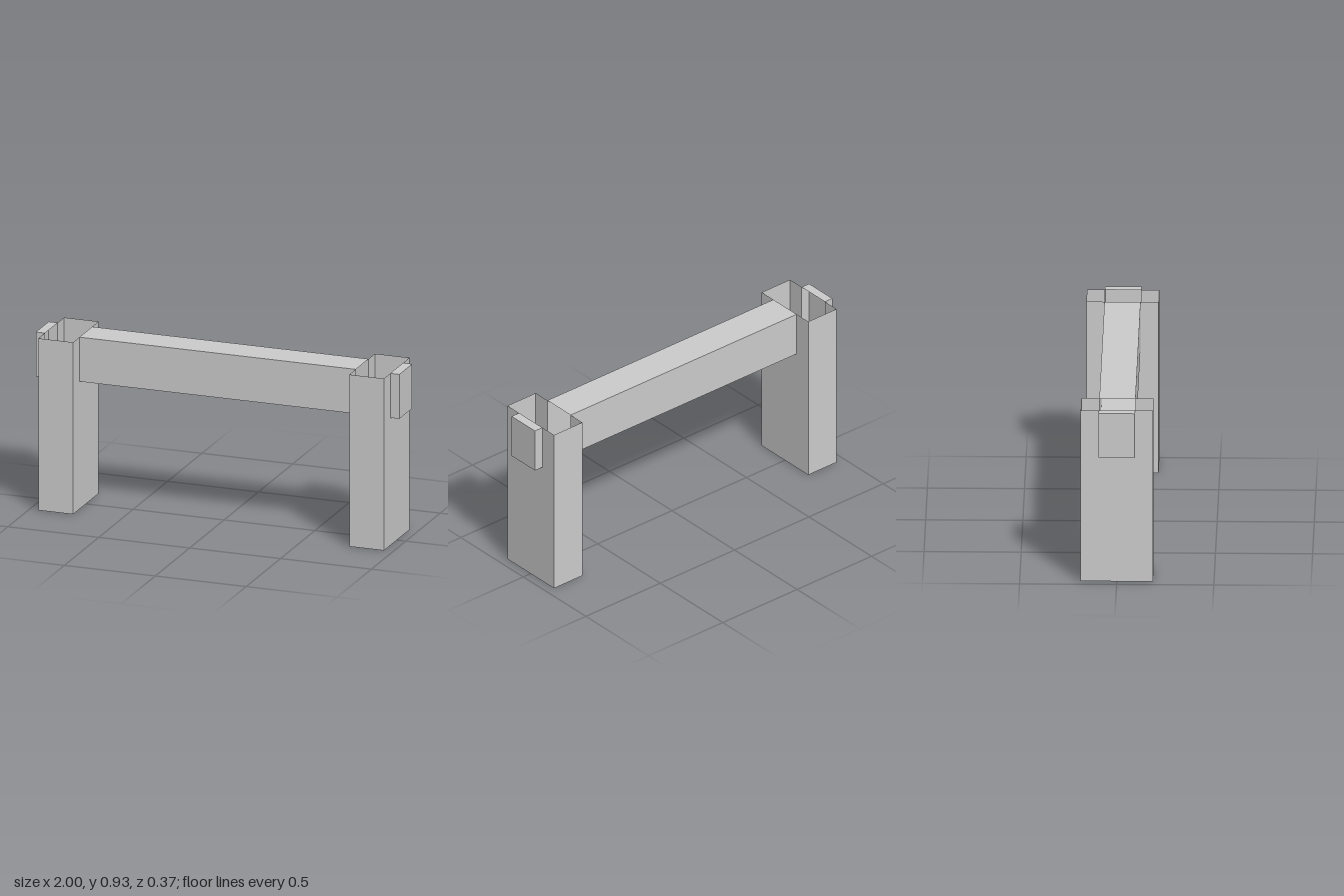
import * as THREE from 'three';
import { mergeGeometries } from 'three/addons/utils/BufferGeometryUtils.js';

const TOP = 0.93, BEAM_Y = 0.69;        // beam runs from BEAM_Y to TOP
const INNER = 0.76, OUTER = 0.95;       // x of the leg walls
const LEG_Z = 0.186, BEAM_Z = 0.093;    // half depths

const material = new THREE.MeshStandardMaterial({
  color: 0xcccccc, flatShading: true, side: THREE.DoubleSide,
});

// Box between two x and y limits, keeping only the listed sides
const SIDES = ['+x', '-x', '+y', '-y', '+z', '-z'];
function openBox(x0, x1, y0, y1, halfZ, keep) {
  const g = new THREE.BoxGeometry(x1 - x0, y1 - y0, 2 * halfZ);
  const index = Array.from(g.index.array);
  g.setIndex(keep.flatMap((s) => {
    const i = SIDES.indexOf(s) * 6;
    return index.slice(i, i + 6);
  }));
  g.clearGroups();
  return g.translate((x0 + x1) / 2, (y0 + y1) / 2, 0);
}

// Leg wall with a notch where the beam passes; facing is +1 or -1 along x
function notchedWall(x, facing) {
  const s = new THREE.Shape([
    [-LEG_Z, 0], [LEG_Z, 0], [LEG_Z, TOP], [BEAM_Z, TOP],
    [BEAM_Z, BEAM_Y], [-BEAM_Z, BEAM_Y], [-BEAM_Z, TOP], [-LEG_Z, TOP],
  ].map(([a, b]) => new THREE.Vector2(a, b)));
  return new THREE.ShapeGeometry(s).rotateY(facing * Math.PI / 2).translate(x, 0, 0);
}

function addMesh(parent, name, geometry) {
  const mesh = new THREE.Mesh(geometry, material);
  mesh.name = name;
  parent.add(mesh);
}

export function createModel() {
  const model = new THREE.Group();
  model.name = 'trestle';

  // Crossbeam between the legs, hollow and open into both of them
  addMesh(model, 'crossbeam',
    openBox(-INNER, INNER, BEAM_Y, TOP, BEAM_Z, ['+y', '-y', '+z', '-z']));

  // The two ends are the same, turned half a turn
  for (const [side, angle] of [['left', 0], ['right', Math.PI]]) {
    const end = new THREE.Group();
    end.name = side + 'End';
    end.rotation.y = angle;

    // Hollow leg, open at the top
    addMesh(end, side + 'Leg', mergeGeometries([
      openBox(INNER, OUTER, 0, TOP, LEG_Z, ['-y', '+z', '-z']),
      notchedWall(OUTER, 1),
      notchedWall(INNER, -1),
    ]));

    // Beam end sticking out past the leg
    addMesh(end, side + 'BeamEnd',
      openBox(OUTER, 1, BEAM_Y, TOP, BEAM_Z, ['+x', '+y', '-y', '+z', '-z']));
    model.add(end);
  }
  return model;
}
